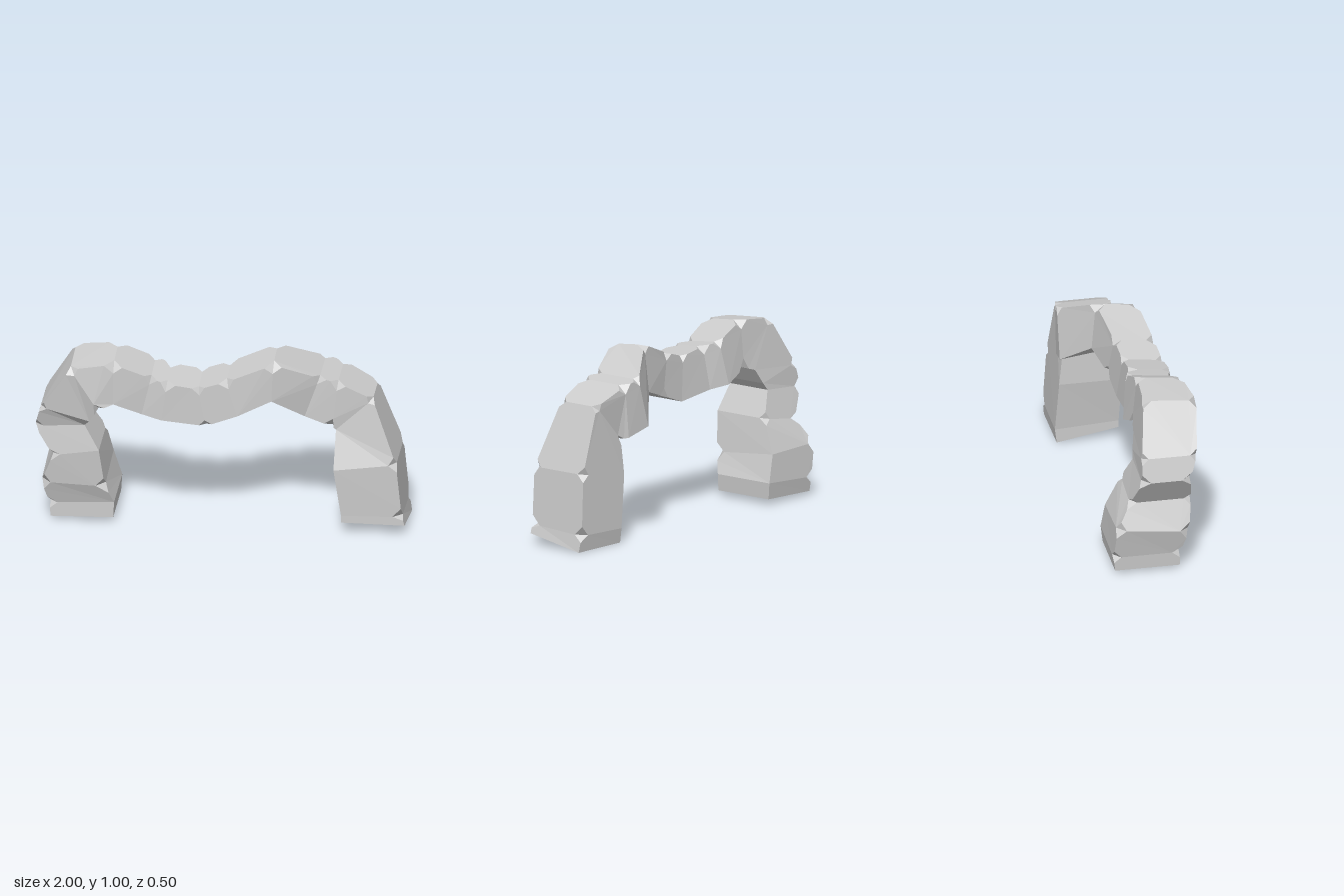
import * as THREE from 'three';

// Stations along the arch, from one foot to the other:
// outer x,y | inner x,y | front z, back z | lift of the front corners
const STATIONS = [
  [-0.92, 0.02, -0.58, 0.03, 0.13, -0.225, 0],
  [-0.925, 0.10, -0.575, 0.12, 0.13, -0.235, 0],
  [-0.965, 0.28, -0.62, 0.27, 0.175, -0.22, -0.04],
  [-0.90, 0.41, -0.65, 0.45, 0.195, -0.14, 0],
  [-1.00, 0.57, -0.73, 0.59, 0.175, -0.09, 0],
  [-0.965, 0.70, -0.70, 0.63, 0.215, -0.085, 0],
  [-0.80, 0.97, -0.65, 0.71, 0.247, -0.07, 0],
  [-0.57, 0.995, -0.57, 0.735, 0.21, -0.06, 0],
  [-0.37, 0.91, -0.42, 0.67, 0.175, -0.08, 0],
  [-0.28, 0.895, -0.31, 0.655, 0.21, -0.04, 0],
  [-0.11, 0.87, -0.07, 0.63, 0.20, -0.045, 0],
  [0.04, 0.915, 0.10, 0.69, 0.185, -0.06, 0],
  [0.29, 1.01, 0.28, 0.75, 0.145, -0.11, 0.02],
  [0.53, 0.88, 0.45, 0.61, 0.05, -0.25, 0.04],
  [0.63, 0.86, 0.60, 0.57, 0.06, -0.24, 0.03],
  [0.82, 0.77, 0.62, 0.56, 0.05, -0.20, 0.02],
  [0.955, 0.42, 0.615, 0.37, 0.125, -0.22, 0],
  [0.985, 0.09, 0.655, 0.08, 0.115, -0.235, 0.02],
  [1.00, 0.0, 0.655, 0.0, 0.115, -0.225, 0.06],
];

function rockArch() {
  const last = STATIONS.length - 1;
  // Four corners per ring: outer front, outer back, inner back, inner front.
  // Across the span the top slopes down to the front and the back leans in.
  const rings = STATIONS.map(([ox, oy, ix, iy, zf, zb, lift], i) => {
    const span = i > 5 && i < 13;
    const leg = i < 6 || i > 15;
    const outerLift = span ? -0.025 : leg ? lift : 0;
    return [
      new THREE.Vector3(ox, oy + outerLift, zf),
      new THREE.Vector3(ox, oy, span ? zb + 0.025 : zb),
      new THREE.Vector3(ix, iy, zb),
      new THREE.Vector3(ix, iy + lift, zf),
    ];
  });
  const corner = (i, j) => rings[i][(j + 4) % 4];

  // Size of the chip knocked off a corner: every outer corner, few inner ones
  const chip = (i, j) => {
    const k = (j + 4) % 4;
    if (i === 0 || i === last || (k > 1 && (i + k) % 4 !== 1)) return 0;
    return 0.035 + 0.004 * ((i * 7 + k * 5) % 5);
  };
  // Point on the edge from corner (i, j) towards corner (a, b)
  const toward = (i, j, a, b) => {
    const p = corner(i, j), q = corner(a, b);
    return p.clone().lerp(q, Math.min(0.4, chip(i, j) / p.distanceTo(q)));
  };

  const positions = [];
  const triangle = new THREE.Triangle();
  const polygon = (pts) => {
    for (let k = 1; k < pts.length - 1; k++) {
      triangle.set(pts[0], pts[k], pts[k + 1]);
      if (triangle.getArea() < 1e-7) continue;
      for (const p of [pts[0], pts[k], pts[k + 1]]) positions.push(p.x, p.y, p.z);
    }
  };

  // Long faces, with their chipped corners cut away
  for (let i = 0; i < last; i++) {
    for (let j = 0; j < 4; j++) {
      const n = j + 1, u = i + 1;
      polygon([
        toward(i, j, i, n), toward(i, j, u, j),
        toward(u, j, i, j), toward(u, j, u, n),
        toward(u, n, u, j), toward(u, n, i, n),
        toward(i, n, u, n), toward(i, n, i, j),
      ]);
    }
  }
  // Chip facets, folded across the edge so that they cut into it
  for (let i = 1; i < last; i++) {
    for (let j = 0; j < 4; j++) {
      if (chip(i, j) === 0) continue;
      polygon([
        toward(i, j, i, j + 1), toward(i, j, i - 1, j),
        toward(i, j, i, j - 1), toward(i, j, i + 1, j),
      ]);
    }
  }
  // Undersides of the feet
  polygon(rings[0]);
  polygon([...rings[last]].reverse());

  const geometry = new THREE.BufferGeometry();
  geometry.setAttribute('position', new THREE.Float32BufferAttribute(positions, 3));
  geometry.computeVertexNormals();
  return geometry;
}

export function createModel() {
  const group = new THREE.Group();
  group.name = 'stoneArch';
  const stone = new THREE.MeshStandardMaterial({ color: 0xcccccc, flatShading: true });
  const arch = new THREE.Mesh(rockArch(), stone);
  arch.name = 'rockArch';
  group.add(arch);
  return group;
}
